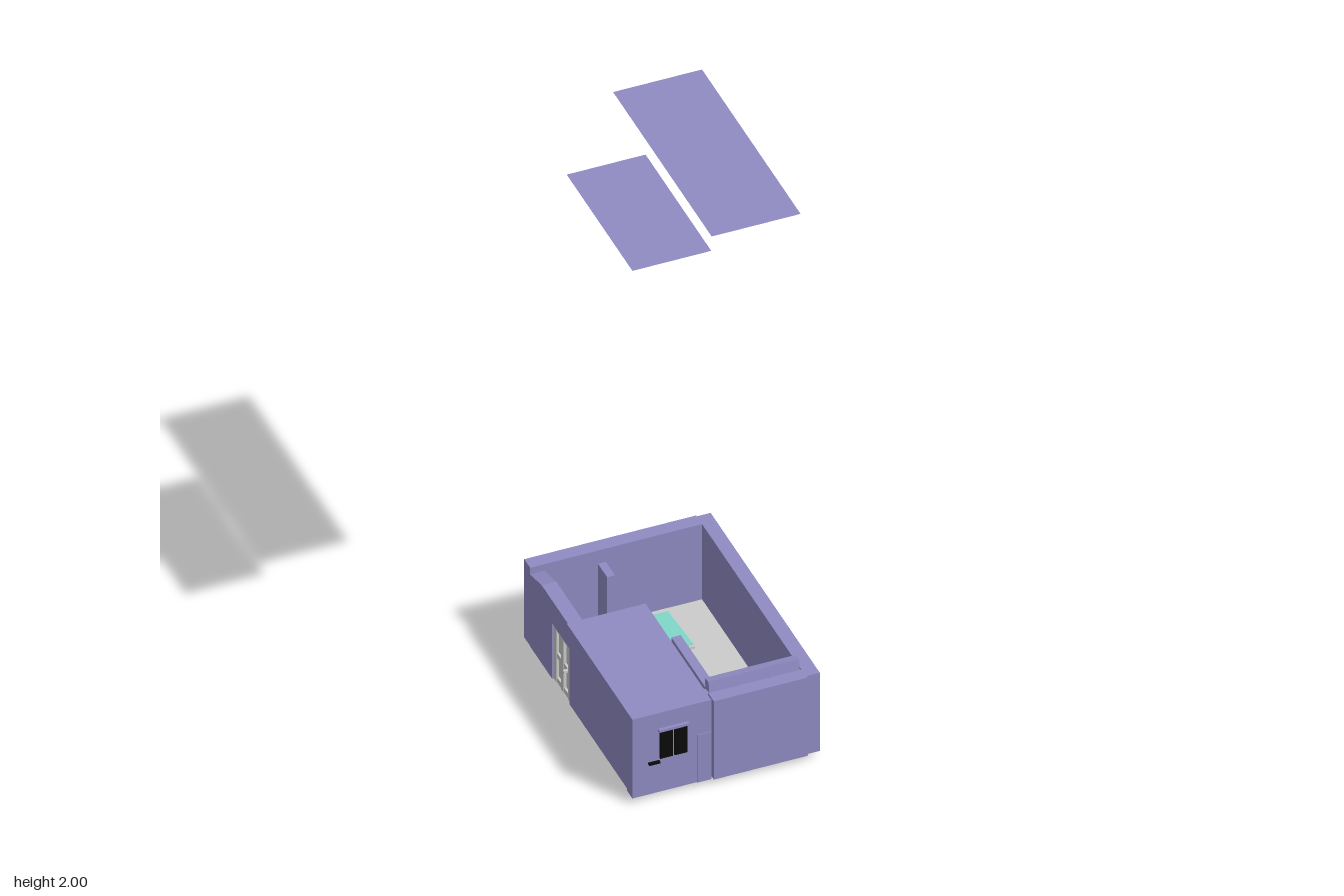
import * as THREE from 'three';

const mat = (color) => new THREE.MeshStandardMaterial({ color, flatShading: true });
const wallMat = mat(0x908bc3), grey = mat(0xcccccc), black = mat(0x0a0a0a), aqua = mat(0x7fd8c8);
const roofMat = new THREE.MeshStandardMaterial({ color: 0x908bc3, side: THREE.DoubleSide });

export function createModel() {
  const model = new THREE.Group();
  const add = (name, geometry, material) => {
    const mesh = new THREE.Mesh(geometry, material);
    mesh.name = name;
    model.add(mesh);
    return mesh;
  };
  // Box given by its limits on each axis
  const box = (name, [x0, x1], [y0, y1], [z0, z1], material = wallMat) => {
    const mesh = add(name, new THREE.BoxGeometry(x1 - x0, y1 - y0, z1 - z0), material);
    mesh.position.set((x0 + x1) / 2, (y0 + y1) / 2, (z0 + z1) / 2);
    return mesh;
  };
  const base = 0.025, top = 0.314, full = [base, top];

  // Floating roof sheets
  const roof = (name, [x0, x1], y, [z0, z1]) => {
    const sheet = add(name, new THREE.PlaneGeometry(x1 - x0, z1 - z0).rotateX(-Math.PI / 2), roofMat);
    sheet.position.set((x0 + x1) / 2, y, (z0 + z1) / 2);
  };
  roof('largeRoof', [-0.03, 0.252], 2, [-0.373, 0.377]);
  roof('smallRoof', [-0.295, -0.045], 1.975, [-0.09, 0.41]);

  // Floor, set just above the undersides of the walls
  box('floor', [-0.27, 0.27], [0.028, 0.036], [-0.4, 0.4], grey);

  // Outer walls
  box('leftWall', [0.255, 0.299], full, [-0.42, 0.41]);
  box('backWall', [-0.29, 0.255], full, [-0.425, -0.38]);
  box('largeFrontWall', [-0.04, 0.258], full, [0.375, 0.418]);
  box('smallFrontWall', [-0.295, -0.045], full, [0.37, 0.41]);
  box('frontDoor', [-0.09, -0.045], [base, 0.2], [0.4, 0.413]);

  // Side wall with a door opening and a dipped top at the back; profile in (z, y)
  const profile = new THREE.Shape([
    [-0.38, base], [-0.21, base], [-0.21, 0.23], [-0.08, 0.23], [-0.08, base],
    [0.4, base], [0.4, top], [-0.29, top], [-0.38, 0.29],
  ].map(([z, y]) => new THREE.Vector2(-z, y)));
  const side = add('sideWall',
    new THREE.ExtrudeGeometry(profile, { depth: 0.046, bevelEnabled: false }).rotateY(Math.PI / 2), wallMat);
  side.position.x = -0.291;

  // Side door with rails, glass panel and handle
  box('doorPanel', [-0.277, -0.265], [base, 0.23], [-0.21, -0.08], grey);
  for (const z of [-0.21, -0.155, -0.1]) {
    box('doorStile', [-0.286, -0.257], [base, 0.23], [z, z + 0.02], grey);
  }
  for (const y of [base, 0.115, 0.212]) {
    box('doorRail', [-0.284, -0.259], [y, y + 0.018], [-0.21, -0.08], grey);
  }
  box('doorHandle', [-0.3, -0.28], [0.125, 0.133], [-0.108, -0.1], grey);

  // Ceiling of the small room
  box('smallCeiling', [-0.295, -0.045], [0.3, 0.316], [-0.09, 0.41]);

  // Inner walls
  box('partition', [-0.03, 0], [0.025, 0.3], [0.07, 0.33]);
  box('backPost', [-0.075, -0.05], [base, 0.265], [-0.385, -0.31]);
  box('frontPost', [-0.04, -0.03], [base, 0.3], [0.335, 0.377]);

  // Tilted beam on the front wall
  const beam = box('tiltedBeam', [-0.037, 0.25], [0.312, 0.348], [0.344, 0.373]);
  beam.rotation.x = -0.17;

  // Sunken tray with its rim and surface
  const tx = [-0.04, 0.145], tz = [-0.37, -0.17], ty = [0.005, 0.045], w = 0.014;
  for (const x of [tx[0], tx[1] - w]) box('trayRim', [x, x + w], ty, tz, grey);
  for (const z of [tz[0], tz[1] - w]) box('trayRim', [tx[0] + w, tx[1] - w], ty, [z, z + w], grey);
  box('trayBase', [tx[0] + w, tx[1] - w], [0.014, 0.02], [tz[0] + w, tz[1] - w], grey);
  const surface = box('traySurface', [-0.034, 0.14], [0.04, 0.047], [-0.35, -0.175], aqua);
  surface.rotation.y = 0.05;

  // Front window: two panes, slats, trim and sill
  for (const x of [-0.209, -0.163]) {
    box('windowPane', [x, x + 0.04], [0.15, 0.25], [0.405, 0.416], black);
    for (let i = 0; i < 4; i++) {
      const y = 0.165 + i * 0.023;
      box('windowSlat', [x + 0.005, x + 0.035], [y, y + 0.004], [0.414, 0.418], black);
    }
  }
  box('windowTrim', [-0.214, -0.118], [0.25, 0.259], [0.408, 0.42]);
  box('windowSill', [-0.245, -0.21], [0.137, 0.143], [0.408, 0.42], black);
  return model;
}
